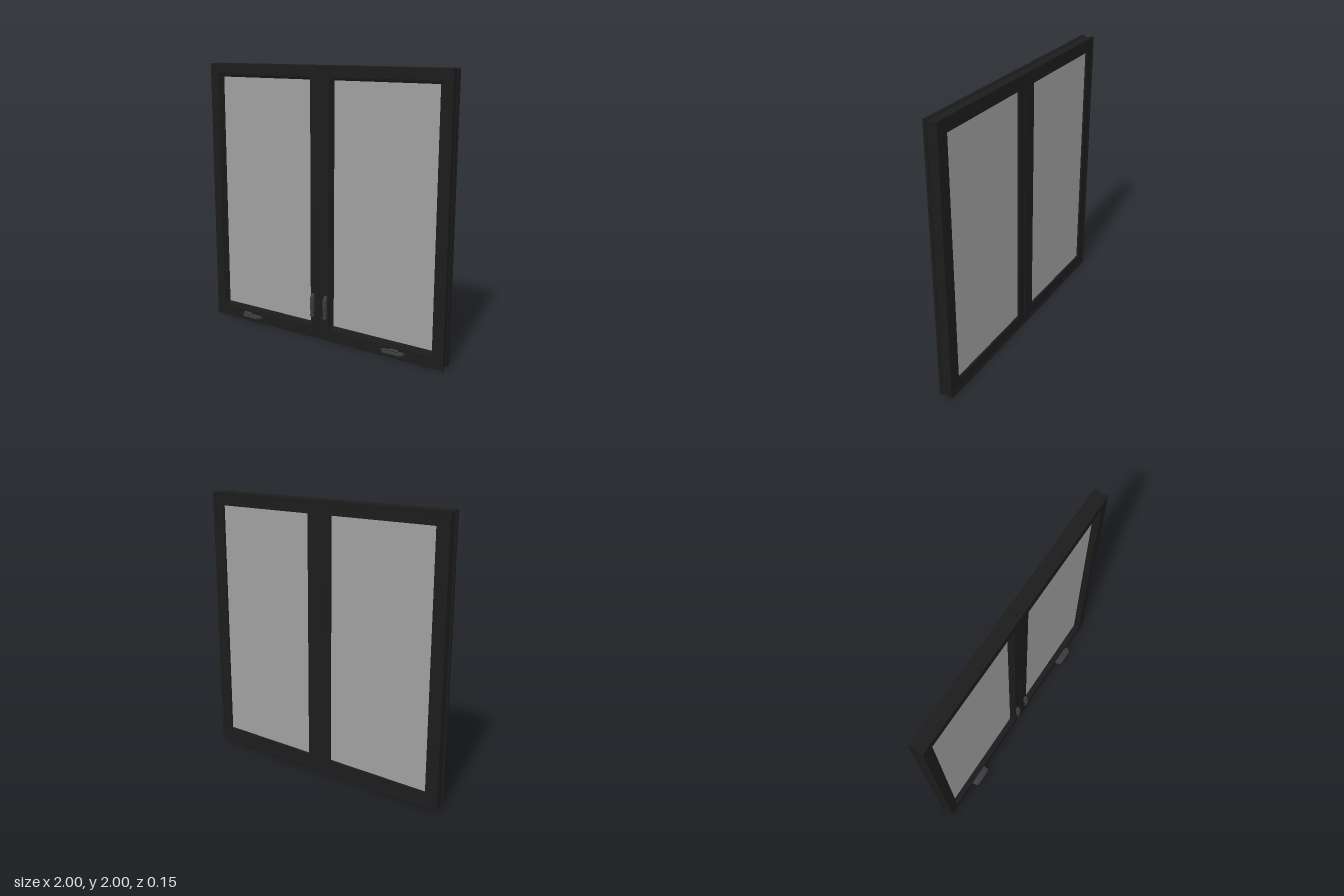
import * as THREE from 'three';
import { RoundedBoxGeometry } from 'three/addons/geometries/RoundedBoxGeometry.js';
import { toCreasedNormals } from 'three/addons/utils/BufferGeometryUtils.js';

const frameMat = new THREE.MeshStandardMaterial({ color: 0x1c1c1c });
const glassMat = new THREE.MeshStandardMaterial({ color: 0xa0a0a0 });
const metalMat = new THREE.MeshStandardMaterial({ color: 0x3c3c3c });

const W = 1, H = 2; // one sash unit

function add(parent, name, geometry, material, x = 0, y = 0, z = 0) {
  const mesh = new THREE.Mesh(geometry, material);
  mesh.name = name;
  mesh.position.set(x, y, z);
  parent.add(mesh);
  return mesh;
}

// Closed profile of [inset, z] points swept round a rectangle with mitred corners.
// The bottom rail is slightly taller than the other members.
function mitredFrame(profile) {
  const point = (corner, [d, z]) => [
    (corner === 1 || corner === 2 ? 1 : -1) * (W / 2 - d),
    corner >= 2 ? H - d : d * 1.1,
    z,
  ];
  const positions = [];
  for (let i = 0; i < 4; i++) {
    for (let j = 0; j < profile.length; j++) {
      const p = profile[j], q = profile[(j + 1) % profile.length], k = (i + 1) % 4;
      const a = point(i, p), b = point(k, p), c = point(k, q), e = point(i, q);
      positions.push(...a, ...e, ...c, ...a, ...c, ...b);
    }
  }
  const geometry = new THREE.BufferGeometry();
  geometry.setAttribute('position', new THREE.Float32BufferAttribute(positions, 3));
  geometry.computeVertexNormals();
  return geometry;
}

// Side outline of [z, y] points, smoothed and extruded across x
function sideExtrusion(points, width, bevel) {
  const shape = new THREE.Shape();
  shape.moveTo(...points[0]);
  shape.splineThru(points.slice(1).map(p => new THREE.Vector2(...p)));
  const geometry = new THREE.ExtrudeGeometry(shape, {
    depth: width - 2 * bevel, curveSegments: 30, bevelEnabled: true,
    bevelSize: bevel, bevelThickness: bevel, bevelOffset: -bevel, bevelSegments: 2,
  });
  geometry.translate(0, 0, bevel - width / 2).rotateY(-Math.PI / 2);
  return toCreasedNormals(geometry, 0.6);
}

// Lever lock: back plate, pivot and curved lever
function makeLock() {
  const lock = new THREE.Group();
  lock.name = 'lockLever';
  add(lock, 'lockPlate', new RoundedBoxGeometry(0.022, 0.145, 0.012, 2, 0.004), metalMat, 0, 0.272, 0.022);
  const lever = [
    [0.022, 0.343], [0.036, 0.338], [0.047, 0.31], [0.051, 0.27], [0.046, 0.225],
    [0.042, 0.185], [0.039, 0.167], [0.033, 0.168], [0.033, 0.2], [0.03, 0.235], [0.024, 0.27],
  ];
  add(lock, 'lever', sideExtrusion(lever, 0.024, 0.003), metalMat);
  add(lock, 'leverTip', new RoundedBoxGeometry(0.03, 0.026, 0.012, 2, 0.005), metalMat, 0, 0.179, 0.037);
  return lock;
}

// Folding crank: tapered housing with a bowed arm and knob on top
function makeCrank() {
  const crank = new THREE.Group();
  crank.name = 'crank';
  const plan = new THREE.Shape();
  plan.moveTo(-0.084, 0);
  plan.lineTo(0.084, 0);
  plan.lineTo(0.08, 0.03);
  plan.quadraticCurveTo(0.076, 0.05, 0.055, 0.052);
  plan.lineTo(-0.055, 0.052);
  plan.quadraticCurveTo(-0.076, 0.05, -0.08, 0.03);
  plan.closePath();
  const housing = new THREE.ExtrudeGeometry(plan, {
    depth: 0.016, bevelEnabled: true, bevelSize: 0.003, bevelThickness: 0.003,
    bevelOffset: -0.003, bevelSegments: 2, curveSegments: 8,
  });
  // plan lies flat, then its outer edge tips upwards
  housing.rotateX(Math.PI / 2);
  const body = add(crank, 'crankHousing', toCreasedNormals(housing, 0.6), metalMat, 0, 0.055, 0.016);
  body.rotation.x = 0.2 * -1;

  const path = new THREE.CatmullRomCurve3([
    [-0.078, 0.06, 0.056], [-0.04, 0.07, 0.064], [0.01, 0.077, 0.066], [0.045, 0.077, 0.063],
  ].map(p => new THREE.Vector3(...p)));
  add(crank, 'crankArm', new THREE.TubeGeometry(path, 24, 0.008, 10, false), metalMat);
  const knob = add(crank, 'crankKnob', new THREE.CapsuleGeometry(0.01, 0.05, 6, 12), metalMat, 0.024, 0.08, 0.064);
  knob.rotation.z = Math.PI / 2;
  const pivot = add(crank, 'crankPivot', new THREE.SphereGeometry(0.011, 14, 10), metalMat, -0.07, 0.058, 0.054);
  pivot.scale.y = 0.9;
  return crank;
}

export function createModel() {
  const model = new THREE.Group();
  model.name = 'doubleWindow';

  // outer frame: front flange, edge channel and back lip
  const frameProfile = [
    [0, 0.018], [0, 0], [0.009, -0.005], [0.009, -0.042], [0.003, -0.047], [0.003, -0.07],
    [0, -0.07], [0, -0.08], [0.02, -0.08], [0.022, -0.076], [0.097, -0.076],
    [0.1, -0.06], [0.1, -0.012], [0.092, -0.008], [0.09, 0.004], [0.083, 0.006],
    [0.082, 0.012], [0.079, 0.012], [0.077, 0.02], [0.002, 0.02],
  ];
  const frameGeometry = mitredFrame(frameProfile);
  const paneGeometry = new THREE.BoxGeometry(W - 0.196, H - 0.206, 0.045);

  for (const side of [-1, 1]) {
    const unit = new THREE.Group();
    unit.name = side > 0 ? 'leftWindow' : 'rightWindow';
    unit.position.x = side * W / 2;
    add(unit, 'frame', frameGeometry, frameMat);
    add(unit, 'glass', paneGeometry, glassMat, 0, 1.005, -0.04);

    const lock = makeLock();
    lock.position.x = side * (0.056 - W / 2);
    unit.add(lock);

    const crank = makeCrank();
    crank.position.x = side * 0.125;
    crank.rotation.y = 0;
    crank.scale.x = side; // mirrored pair
    unit.add(crank);
    model.add(unit);
  }
  return model;
}
